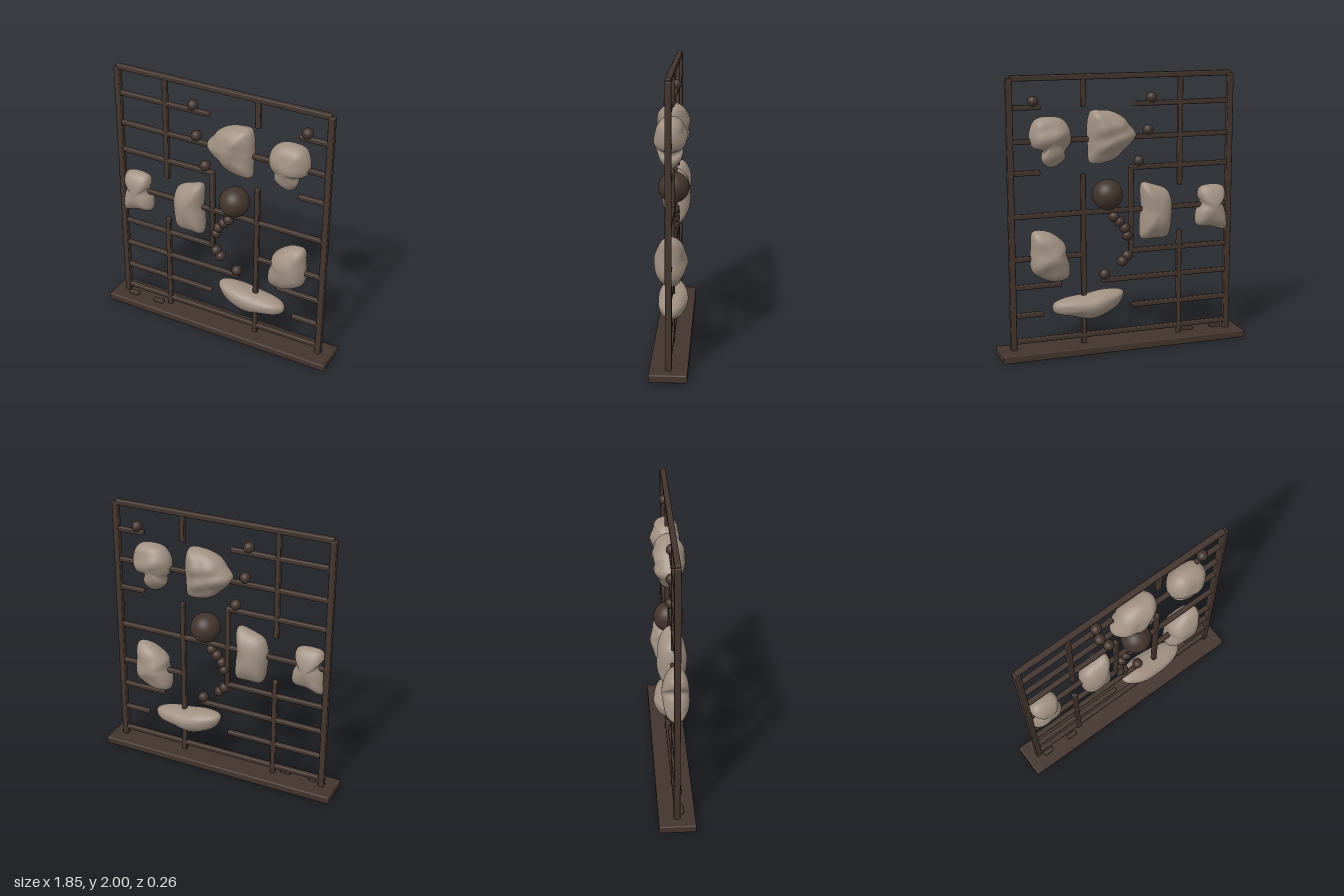
import * as THREE from 'three';
import { mergeVertices } from 'three/addons/utils/BufferGeometryUtils.js';
import { RoundedBoxGeometry } from 'three/addons/geometries/RoundedBoxGeometry.js';

const wood = new THREE.MeshStandardMaterial({ color: 0x43342d });
wood.name = 'dark wood';
const stone = new THREE.MeshStandardMaterial({ color: 0xa09082 });
stone.name = 'warm stone';

// Stone: a closed front outline swelling to a domed thickness, with gentle lumps
function stoneGeometry(outline, { depth, taper = 0, lump = 0.1, freq = 22, seed = 0 }) {
  const curve = new THREE.CatmullRomCurve3(outline.map(([x, y]) => new THREE.Vector3(x, y, 0)), true);
  const rim = curve.getSpacedPoints(64).slice(0, -1);
  const box = new THREE.Box3().setFromPoints(rim);
  const c = box.getCenter(new THREE.Vector3());
  const half = (box.max.y - box.min.y) / 2;
  const rings = 28, n = rim.length, pos = [], index = [];
  for (let i = 0; i <= rings; i++) {
    const phi = (i / rings) * Math.PI;
    const s = i === rings ? 0 : Math.sin(phi), side = Math.cos(phi);
    for (const p of rim) {
      const x = c.x + (p.x - c.x) * s, y = c.y + (p.y - c.y) * s;
      const wave = Math.sin(freq * (x + 0.7 * y) + seed + side)
        * Math.cos(freq * (1.2 * y - 0.5 * x) + 2 * seed)
        + 0.5 * Math.sin(freq * 1.7 * (y + 0.3 * x) + 3 * seed);
      const z = depth * side * (1 + taper * (y - c.y) / half) * (1 + lump * wave);
      pos.push(x, y, z);
    }
  }
  for (let i = 0; i < rings; i++) {
    for (let j = 0; j < n; j++) {
      const k = (j + 1) % n;
      const a = i * n + j, b = a + n, d = i * n + k, e = d + n;
      index.push(a, e, b, a, d, e);
    }
  }
  let g = new THREE.BufferGeometry();
  g.setAttribute('position', new THREE.Float32BufferAttribute(pos, 3));
  g.setIndex(index);
  g = mergeVertices(g, 1e-5);
  g.computeVertexNormals();
  return g;
}

export function createModel() {
  const model = new THREE.Group();
  model.name = 'stoneScreen';

  const add = (name, geometry, material, x = 0, y = 0, z = 0) => {
    const mesh = new THREE.Mesh(geometry, material);
    mesh.name = name;
    mesh.position.set(x, y, z);
    model.add(mesh);
    return mesh;
  };
  const rounded = (w, h, d, r) => new RoundedBoxGeometry(w, h, d, 2, r);
  const rail = (x0, x1, y, t = 0.036) =>
    add('rail', rounded(x1 - x0, t, t, 0.009), wood, (x0 + x1) / 2, y);
  const post = (x, y0, y1, t = 0.036) =>
    add('post', rounded(t, y1 - y0, t, 0.007), wood, x, (y0 + y1) / 2);

  // Plinth
  add('base', rounded(1.85, 0.056, 0.26, 0.01), wood, 0, 0.028);
  for (const x of [-0.75, -0.525]) {
    add('basePlate', rounded(0.082, 0.03, 0.034, 0.008), wood, x, 0.065, 0.034);
  }

  // Outer frame
  for (const side of [-1, 1]) post(side * 0.822, 0.05, 1.98, 0.044).name = 'framePost';
  rail(-0.825, 0.82, 1.98, 0.04).name = 'topRail';

  // Broken lattice of rails: x start, x end, height
  for (const [x0, x1, y] of [
    [-0.81, -0.08, 1.78], [0.6, 0.81, 1.78],
    [-0.81, 0.81, 1.545],
    [-0.81, -0.045, 1.325], [0.61, 0.81, 1.325],
    [-0.81, 0.81, 1.02],
    [-0.81, -0.045, 0.715], [0.3, 0.81, 0.715],
    [-0.81, 0.16, 0.512], [0.465, 0.81, 0.512],
    [-0.81, -0.065, 0.305], [0.6, 0.81, 0.305],
    [-0.81, 0.81, 0.115],
  ]) rail(x0, x1, y);

  // Inner posts: x, bottom, top
  for (const [x, y0, y1] of [
    [-0.435, 1.18, 1.97], [-0.435, 0.05, 0.84],
    [0.293, 1.77, 1.97], [0.299, 0.05, 1.3],
    [-0.06, 0.7, 1.325],
  ]) post(x, y0, y1);

  // Beads and the large ball
  const bead = new THREE.SphereGeometry(0.039, 24, 16);
  for (const [x, y] of [
    [-0.215, 1.82], [0.655, 1.82], [-0.19, 1.59], [-0.12, 1.37],
    [0.07, 0.975], [0.028, 0.935], [-0.013, 0.885], [-0.032, 0.83],
    [-0.033, 0.68], [0.005, 0.64], [0.14, 0.555],
  ]) add('bead', bead, wood, x, y);
  add('largeBall', new THREE.SphereGeometry(0.11, 40, 28), wood, 0.117, 1.138);

  // Stones set into the lattice
  const stones = {
    upperCentreStone: [[[0.235, 1.74], [0.26, 1.68], [0.265, 1.58], [0.26, 1.47], [0.25, 1.375],
      [0.18, 1.365], [0.1, 1.38], [0.04, 1.41], [0, 1.45], [-0.055, 1.5], [-0.095, 1.565],
      [-0.045, 1.635], [0, 1.69], [0.09, 1.735], [0.17, 1.745]],
    { depth: 0.11, taper: 0.25, lump: 0.08, freq: 28, seed: 1 }],
    upperLeftStone: [[[0.46, 1.7], [0.63, 1.7], [0.675, 1.635], [0.685, 1.56], [0.66, 1.5],
      [0.585, 1.47], [0.595, 1.41], [0.55, 1.36], [0.485, 1.37], [0.43, 1.42], [0.43, 1.47],
      [0.39, 1.53], [0.4, 1.635]],
    { depth: 0.105, taper: 0.25, lump: 0.07, freq: 24, seed: 2 }],
    farRightStone: [[[-0.77, 1.155], [-0.6, 1.15], [-0.585, 1.085], [-0.605, 1.04], [-0.57, 0.96],
      [-0.575, 0.87], [-0.69, 0.85], [-0.8, 0.825], [-0.805, 0.915], [-0.785, 0.995],
      [-0.76, 1.04], [-0.795, 1.1]],
    { depth: 0.095, lump: 0.07, freq: 16, seed: 3 }],
    middleRightStone: [[[-0.145, 1.21], [-0.14, 1.02], [-0.13, 0.915], [-0.14, 0.8], [-0.23, 0.795],
      [-0.335, 0.805], [-0.368, 0.94], [-0.368, 1.075], [-0.335, 1.15], [-0.23, 1.195]],
    { depth: 0.105, lump: 0.05, freq: 14, seed: 4 }],
    lowerLeftStone: [[[0.67, 0.905], [0.685, 0.8], [0.68, 0.625], [0.615, 0.57], [0.51, 0.535],
      [0.415, 0.56], [0.405, 0.65], [0.43, 0.73], [0.435, 0.8], [0.51, 0.875], [0.59, 0.91]],
    { depth: 0.112, lump: 0.09, freq: 20, seed: 5 }],
    bottomStone: [[[0, 0.42], [0.1, 0.44], [0.27, 0.42], [0.46, 0.395], [0.53, 0.36],
      [0.52, 0.305], [0.405, 0.27], [0.24, 0.235], [0.125, 0.27], [0.03, 0.335]],
    { depth: 0.105, taper: 0.15, lump: 0.04, freq: 14, seed: 6 }],
  };
  for (const [name, [outline, options]] of Object.entries(stones)) {
    add(name, stoneGeometry(outline, options), stone);
  }
  return model;
}
